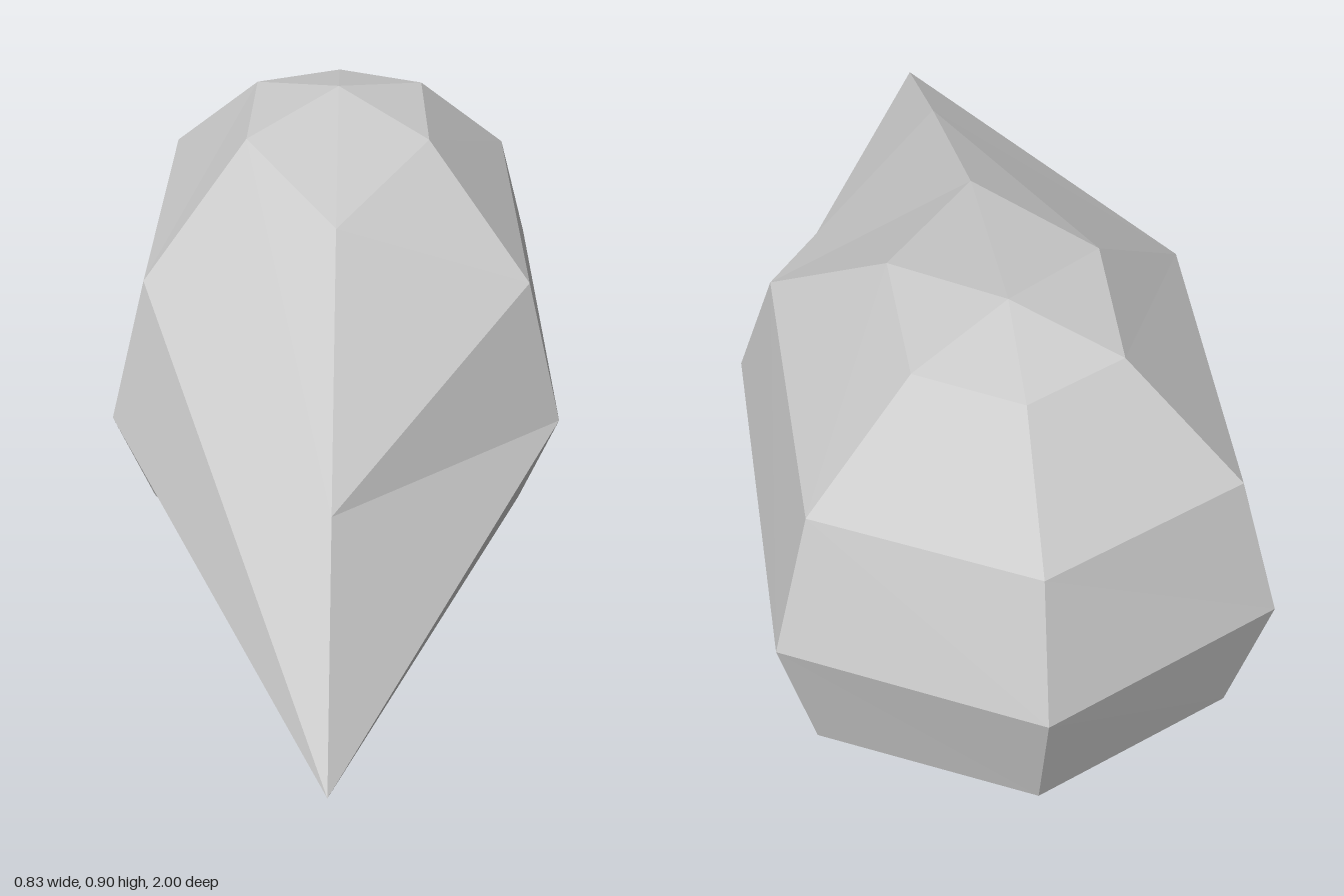
import * as THREE from 'three';

const MID = 0.451; // height of the equator
const POLE = [0, 0.45, -0.53];

// Meridians on the +x side, front to back: [x, height above equator, z],
// each listed from near the pole down to the equator.
const FRONT = [[0, 0.379, -0.07], [0, 0.174, 0.53], [0, 0, 1]];
const FRONT_SIDE = [[0.172, 0.417, -0.36], [0.355, 0.238, -0.13], [0.415, 0, -0.035]];
const BACK_SIDE = [[0.163, 0.407, -0.645], [0.335, 0.23, -0.75], [0.393, 0, -0.79]];
const BACK = [[0, 0.397, -0.73], [0, 0.226, -0.927], [0, 0, -1]];

const mirrorX = (m) => m.map(([x, y, z]) => [-x, y, z]);
const flip = ([x, y, z]) => [x, -y, z];

// Extend a half meridian from top pole to bottom pole
const full = (m) => [POLE, ...m, flip(m[1]), flip(m[0]), flip(POLE)];

function facetedDrop() {
  const meridians = [
    FRONT, FRONT_SIDE, BACK_SIDE, BACK, mirrorX(BACK_SIDE), mirrorX(FRONT_SIDE),
  ].map(full);
  const positions = [];
  const tri = (...pts) => pts.forEach(([x, y, z]) => positions.push(x, y + MID, z));

  // Skin between neighbouring meridians, with single triangles at the poles
  meridians.forEach((a, i) => {
    const b = meridians[(i + 1) % meridians.length];
    const last = a.length - 2;
    for (let j = 0; j <= last; j++) {
      if (j < last) tri(a[j], a[j + 1], b[j + 1]);
      if (j > 0) tri(a[j], j < last ? b[j + 1] : a[j + 1], b[j]);
    }
  });

  const geometry = new THREE.BufferGeometry();
  geometry.setAttribute('position', new THREE.Float32BufferAttribute(positions, 3));
  geometry.computeVertexNormals();
  return geometry;
}

export function createModel() {
  const group = new THREE.Group();
  group.name = 'facetedDrop';
  const grey = new THREE.MeshStandardMaterial({ color: 0xcccccc });
  grey.name = 'light grey';
  grey.flatShading = true;

  // Pointed body
  const body = new THREE.Mesh(facetedDrop(), grey);
  body.name = 'body';
  group.add(body);
  return group;
}
